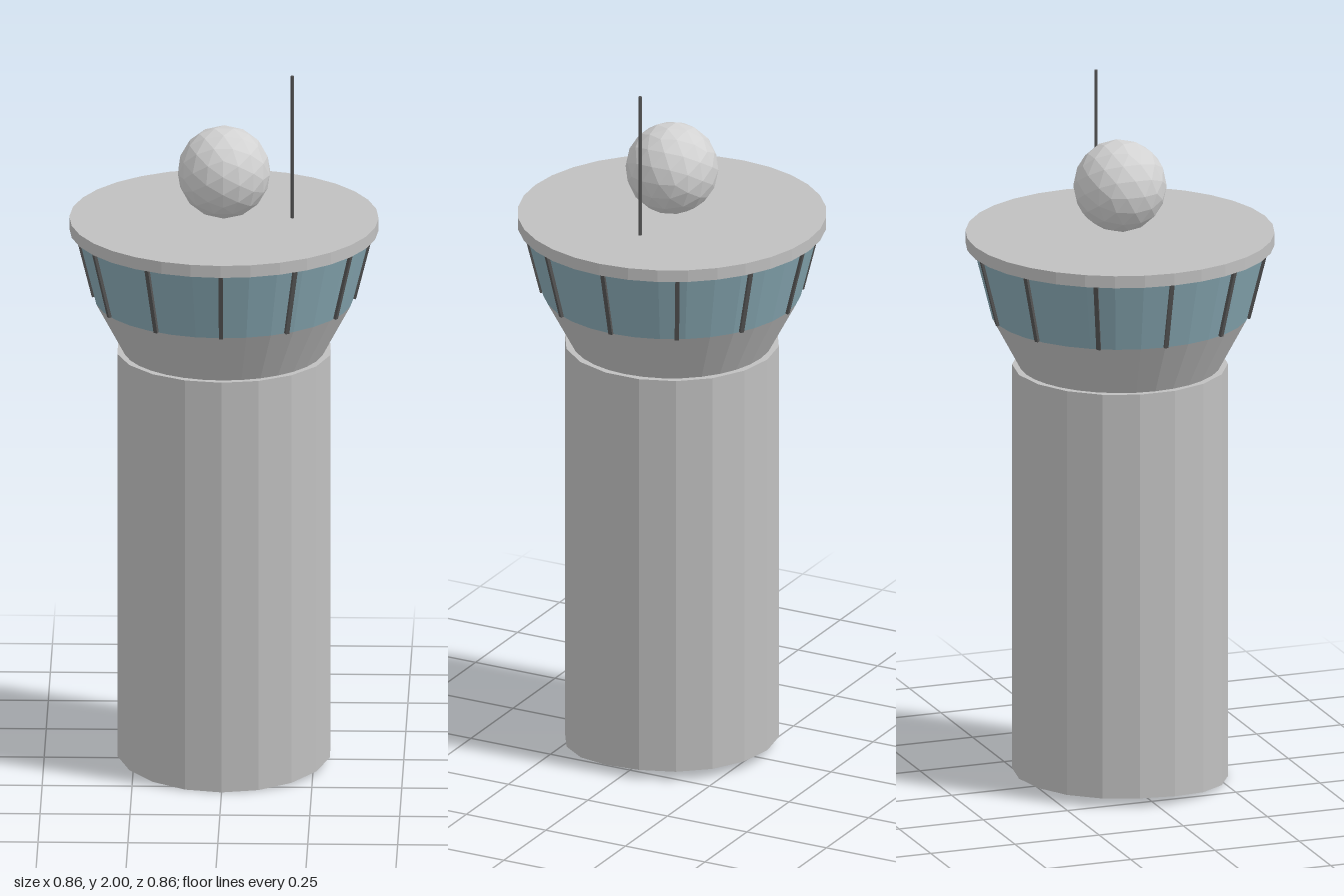
import * as THREE from 'three';

export function createModel() {
  const group = new THREE.Group();
  group.name = 'controlTower';

  const makeMaterial = (name, color) => {
    const m = new THREE.MeshStandardMaterial({ color, flatShading: true });
    m.name = name;
    return m;
  };
  const concrete = makeMaterial('concrete', 0xc0c0c0);
  const glass = makeMaterial('blueGlass', 0x88a9b4);
  const metal = makeMaterial('darkMetal', 0x555555);
  const white = makeMaterial('paleGrey', 0xd2d2d2);

  const add = (name, geometry, material, x = 0, y = 0, z = 0, parent = group) => {
    const mesh = new THREE.Mesh(geometry, material);
    mesh.name = name;
    mesh.position.set(x, y, z);
    parent.add(mesh);
    return mesh;
  };
  // Ring or drum between two heights
  const drum = (name, rBottom, rTop, y0, y1, sides, material, open = false) =>
    add(name, new THREE.CylinderGeometry(rTop, rBottom, y1 - y0, sides, 1, open),
      material, 0, (y0 + y1) / 2, 0);

  // Shaft, its foot dipping towards the front to follow sloping ground
  const shaftGeometry = new THREE.CylinderGeometry(0.3, 0.3, 1.2, 18);
  shaftGeometry.translate(0, 0.6, 0);
  const p = shaftGeometry.attributes.position;
  for (let i = 0; i < p.count; i++) {
    if (p.getY(i) < 0.1) p.setY(i, 0.027 - 0.09 * Math.max(p.getZ(i), 0));
  }
  add('shaft', shaftGeometry, concrete);

  // Flared cab base, window band and roof slab
  drum('cabBase', 0.28, 0.36, 1.2, 1.35, 32, concrete);
  drum('windowBand', 0.36, 0.41, 1.35, 1.55, 32, glass);
  drum('roof', 0.43, 0.43, 1.55, 1.585, 32, concrete);

  // Window mullions leaning outwards with the glass
  const mullions = new THREE.Group();
  mullions.name = 'mullions';
  group.add(mullions);
  const mullionGeometry = new THREE.BoxGeometry(0.012, 0.204, 0.012);
  mullionGeometry.rotateX(Math.atan2(0.05, 0.2));
  for (let i = 0; i < 12; i++) {
    const a = (i / 12) * Math.PI * 2;
    const r = 0.386;
    const bar = add('mullion', mullionGeometry, metal,
      Math.sin(a) * r, 1.45, Math.cos(a) * r, mullions);
    bar.rotation.y = a;
  }

  // Radar dome and antenna
  add('radarDome', new THREE.IcosahedronGeometry(0.13, 2), white, 0, 1.718, 0);
  drum('antenna', 0.005, 0.005, 1.58, 2, 8, metal).position.x = 0.19;

  return group;
}
